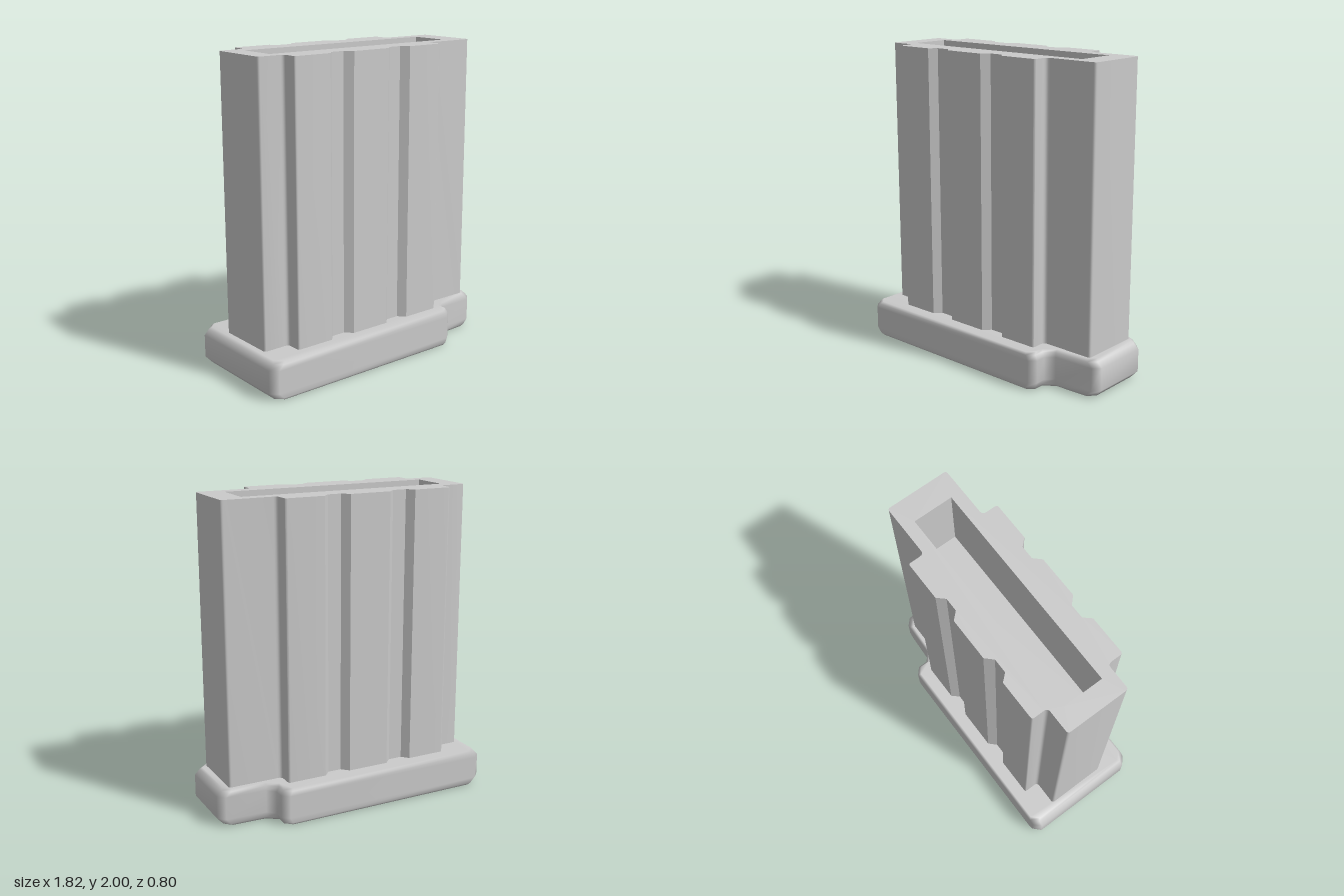
import * as THREE from 'three';
import { toCreasedNormals } from 'three/addons/utils/BufferGeometryUtils.js';

const metal = new THREE.MeshStandardMaterial({ color: 0xcacaca });
metal.name = 'grey';

// Front half of an outline (left to right) completed with its mirrored back half
const mirrored = (half) => [
  ...half.map(([x, z, r = 0]) => ({ p: new THREE.Vector2(x, z), r })),
  ...half.slice().reverse().map(([x, z, r = 0]) => ({ p: new THREE.Vector2(x, -z), r })),
];

// Replaces each corner that has a radius by a short curve
function rounded(corners) {
  const n = corners.length;
  return corners.flatMap(({ p, r }, i) => {
    if (!r) return [p];
    const toward = (q) => q.clone().sub(p).setLength(r).add(p);
    const start = toward(corners[(i + n - 1) % n].p);
    const end = toward(corners[(i + 1) % n].p);
    return new THREE.QuadraticBezierCurve(start, p, end).getPoints(4);
  });
}

function part(name, geometry) {
  const mesh = new THREE.Mesh(geometry, metal);
  mesh.name = name;
  return mesh;
}

// Tall ribbed casing with a rectangular well
function casingGeometry() {
  const shape = new THREE.Shape(rounded(mirrored([
    [-0.83, 0.205, 0.02], [-0.655, 0.205, 0.025], [-0.655, 0.308, 0.015],
    [-0.40, 0.308], [-0.36, 0.263], [-0.27, 0.263], [-0.225, 0.308],
    [0.045, 0.308], [0.088, 0.263], [0.175, 0.263], [0.217, 0.308],
    [0.473, 0.308, 0.015], [0.473, 0.205, 0.027], [0.827, 0.205, 0.018],
  ])));
  shape.holes.push(new THREE.Path([
    new THREE.Vector2(-0.7, -0.128), new THREE.Vector2(0.67, -0.128),
    new THREE.Vector2(0.67, 0.128), new THREE.Vector2(-0.7, 0.128),
  ]));
  const geometry = new THREE.ExtrudeGeometry(shape, { depth: 1.8, bevelEnabled: false });
  geometry.rotateX(-Math.PI / 2).translate(0, 0.2, 0);
  return toCreasedNormals(geometry, 0.6);
}

// Stepped base plate: stacked rings with softened edges
function baseGeometry() {
  const outline = mirrored([
    [-0.909, 0.355], [-0.862, 0.4], [0.505, 0.4], [0.55, 0.36],
    [0.55, 0.295], [0.60, 0.245], [0.862, 0.234], [0.907, 0.19],
  ]).map(({ p }) => p);
  // height, inset of the ends in x, inset of the sides in z
  const rings = [
    [0, 0.046, 0.014], [0.016, 0.032, 0], [0.05, 0, 0],
    [0.195, 0, 0], [0.228, 0.032, 0], [0.243, 0.046, 0.014],
  ];
  const n = outline.length;
  const positions = [], index = [];
  for (const [y, endInset, sideInset] of rings) {
    for (const { x, y: z } of outline) {
      const isEnd = Math.abs(x) > 0.8, isStep = x > 0.5 && x < 0.58;
      const pull = isEnd ? 1 : isStep ? 0.5 : 0;
      positions.push(x - Math.sign(x) * pull * endInset, y, z - Math.sign(z) * sideInset);
    }
  }
  for (let r = 0; r < rings.length - 1; r++) {
    for (let i = 0; i < n; i++) {
      const a = r * n + i, b = r * n + (i + 1) % n;
      index.push(a, b, b + n, a, b + n, a + n);
    }
  }
  // bottom and top caps
  const top = (rings.length - 1) * n;
  const contour = outline.map((p) => new THREE.Vector2(p.x, -p.y));
  for (const [a, b, c] of THREE.ShapeUtils.triangulateShape(contour, [])) {
    index.push(top + a, top + b, top + c, a, c, b);
  }
  const geometry = new THREE.BufferGeometry();
  geometry.setAttribute('position', new THREE.Float32BufferAttribute(positions, 3));
  geometry.setIndex(index);
  geometry.computeVertexNormals();
  return geometry;
}

export function createModel() {
  const model = new THREE.Group();
  model.name = 'magazine';
  model.add(part('casing', casingGeometry()));
  model.add(part('basePlate', baseGeometry()));

  // floor of the well
  const floor = part('wellFloor', new THREE.BoxGeometry(1.37, 0.02, 0.256));
  floor.position.set(-0.015, 1.5, 0);
  model.add(floor);
  return model;
}
